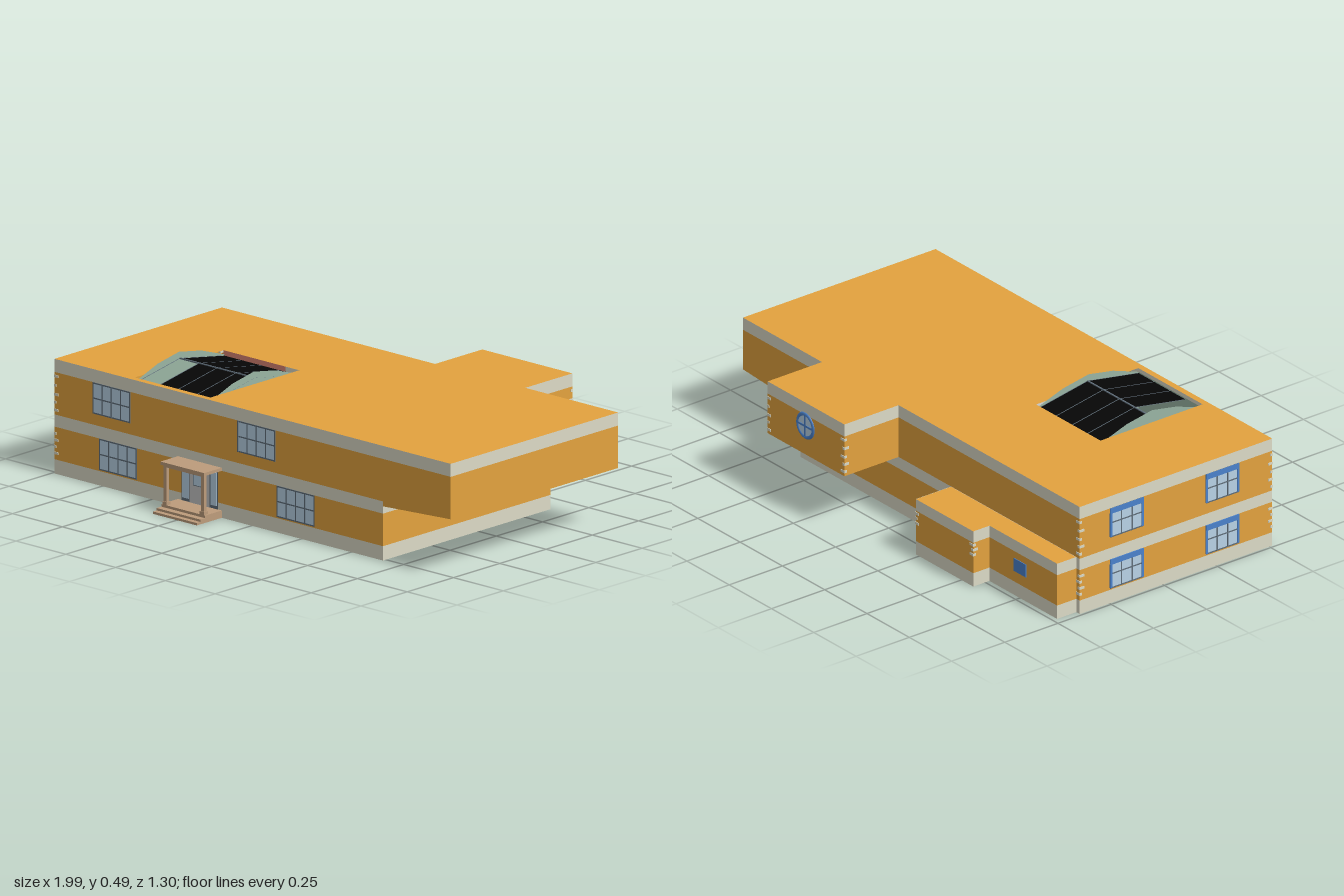
import * as THREE from 'three';

const mat = (name, color) => {
  const m = new THREE.MeshStandardMaterial({ color, side: THREE.DoubleSide });
  m.name = name;
  return m;
};

export function createModel() {
  const M = {
    ochre: mat('ochre wall', 0xe3a23e),
    beige: mat('beige trim', 0xdcdac6),
    black: mat('black panel', 0x060606),
    green: mat('green glass', 0x9ab5a4),
    glass: mat('window glass', 0xb8d2e6),
    slate: mat('slate frame', 0x606e7a),
    blue: mat('blue frame', 0x4a82cc),
    tan: mat('tan porch', 0xbd9c7b),
    light: mat('light grey', 0xc4c4c4),
    salmon: mat('salmon rim', 0xdc8474),
  };
  const root = new THREE.Group();

  const add = (parent, name, geo, m) => {
    const mesh = new THREE.Mesh(geo, m);
    mesh.name = name;
    parent.add(mesh);
    return mesh;
  };
  const group = (name) => {
    const g = new THREE.Group();
    g.name = name;
    root.add(g);
    return g;
  };
  // Box given by its minimum and maximum corners
  const box = (parent, name, m, x0, x1, y0, y1, z0, z1) => {
    const b = add(parent, name, new THREE.BoxGeometry(x1 - x0, y1 - y0, z1 - z0), m);
    b.position.set((x0 + x1) / 2, (y0 + y1) / 2, (z0 + z1) / 2);
  };
  // Single polygon from 3D corners (fan)
  const face = (parent, name, m, ...p) => {
    const pos = [];
    for (let i = 1; i < p.length - 1; i++) pos.push(...p[0], ...p[i], ...p[i + 1]);
    const g = new THREE.BufferGeometry();
    g.setAttribute('position', new THREE.Float32BufferAttribute(pos, 3));
    g.computeVertexNormals();
    add(parent, name, g, m);
  };
  // Upright panel between two plan points
  const wall = (parent, name, m, [ax, az], [bx, bz], y0, y1) =>
    face(parent, name, m, [ax, y0, az], [bx, y0, bz], [bx, y1, bz], [ax, y1, az]);
  // Upright wall strip following a plan outline of [x, z] corners
  const band = (name, m, outline, y0, y1) => {
    const g = group(name);
    outline.forEach((a, i) => wall(g, name, m, a, outline[(i + 1) % outline.length], y0, y1));
  };
  // Flat slab from a plan outline, with an optional hole
  const flat = (name, m, outline, y, hole) => {
    const v = (o) => o.map(([x, z]) => new THREE.Vector2(x, -z));
    const s = new THREE.Shape(v(outline));
    if (hole) s.holes.push(new THREE.Path(v(hole)));
    add(root, name, new THREE.ShapeGeometry(s).rotateX(-Math.PI / 2), m).position.y = y;
  };
  const rect = (x0, x1, z0, z1) => [[x0, z1], [x1, z1], [x1, z0], [x0, z0]];

  // Plan outlines, counter-clockwise from above
  const annex = [[-0.23, -0.39], [-0.23, -0.556], [-0.57, -0.556], [-0.57, -0.48], [-0.97, -0.48], [-0.97, -0.39]];
  const lower = [[-0.99, 0.515], [0.66, 0.515], [0.66, -0.39], ...annex, [-0.99, -0.39]];
  const upper = [[-0.99, 0.515], [1, 0.515], [1, -0.39], [0.533, -0.39], [0.533, -0.645],
    [0.08, -0.645], [0.08, -0.39], [-0.99, -0.39]];

  // Walls in painted bands
  band('lowerPlinth', M.beige, lower, 0, 0.055);
  band('lowerWalls', M.ochre, lower, 0.055, 0.18);
  band('lowerTrim', M.beige, lower, 0.18, 0.227);
  band('upperWalls', M.ochre, upper, 0.227, 0.39);
  band('upperTrim', M.beige, upper, 0.39, 0.44);

  // Roofs, with the skylight opening
  flat('mainRoof', M.ochre, upper, 0.44, rect(-0.61, -0.23, 0.01, 0.49));
  flat('annexRoof', M.ochre, annex, 0.226);

  // Overhang underside, sloping up to the end, with its side wedges
  face(root, 'overhangUnderside', M.beige, [0.66, 0.208, 0.515], [0.66, 0.208, -0.39], [1, 0.227, -0.39], [1, 0.227, 0.515]);
  for (const z of [0.515, -0.39])
    face(root, 'overhangWedge', M.ochre, [0.66, 0.208, z], [1, 0.227, z], [0.66, 0.227, z]);
  flat('bayUnderside', M.beige, rect(0.08, 0.533, -0.645, -0.39), 0.227);

  // Floors set above the plinth foot; the back corner room has none
  const floorY = 0.04;
  flat('groundFloor', M.light, [[-0.99, 0.515], [0.1, 0.515], [0.1, -0.39], [-0.2, -0.39], [-0.2, -0.15],
    [-0.57, -0.15], [-0.57, -0.48], [-0.97, -0.48], [-0.97, -0.39], [-0.99, -0.39]], floorY);
  flat('frontRoomFloor', M.glass, rect(0.1, 0.66, 0.05, 0.515), floorY);
  flat('annexFloor', M.glass, [[-0.57, -0.15], [-0.2, -0.15], [-0.2, -0.39], [-0.23, -0.39], [-0.23, -0.556], [-0.57, -0.556]], floorY);
  flat('ceiling', M.light, rect(-0.99, 0.66, -0.39, 0.515), 0.205);
  flat('upperFloor', M.light, rect(-0.61, -0.23, 0.01, 0.49), 0.225);
  wall(root, 'roomPartition', M.ochre, [0.1, 0.05], [0.66, 0.05], 0, 0.205);
  wall(root, 'sidePartition', M.light, [0.1, -0.39], [0.1, 0.05], 0.01, 0.205);
  box(root, 'annexPartition', M.tan, -0.577, -0.565, 0.02, 0.2, -0.48, -0.01);

  // Skylight: low gable of black panels with one panel open, between glass ends
  const sky = group('skylight');
  const xs = [-0.605, -0.51, -0.42, -0.325, -0.232];
  for (const z of [0.01, 0.49]) {
    const slope = (name, m, x0, x1, lift) =>
      face(sky, name, m, [x0, 0.42 + lift, z], [x1, 0.42 + lift, z], [x1, 0.462 + lift, 0.25], [x0, 0.462 + lift, 0.25]);
    for (let i = 0; i < 4; i++)
      if (i > 0 || z < 0.25) slope('skylightPanel', M.black, xs[i], xs[i + 1], 0);
    for (const x of xs) slope('skylightBar', M.slate, x - 0.002, x + 0.002, 0.001);
  }
  box(sky, 'skylightRidge', M.slate, -0.605, -0.232, 0.46, 0.465, 0.247, 0.253);
  for (const x of [-0.607, -0.231])
    face(sky, 'skylightEnd', M.green, [x, 0.225, 0.49], [x, 0.425, 0.49], [x, 0.467, 0.37], [x, 0.488, 0.255],
      [x, 0.467, 0.135], [x, 0.425, 0.01], [x, 0.225, 0.01]);
  // Rims of the opening
  wall(sky, 'frontShaft', M.green, [-0.61, 0.49], [-0.23, 0.49], 0.225, 0.425);
  wall(sky, 'frontRim', M.beige, [-0.61, 0.49], [-0.23, 0.49], 0.425, 0.44);
  wall(sky, 'backRim', M.salmon, [-0.61, 0.01], [-0.3, 0.01], 0.41, 0.44);
  wall(sky, 'backRimEnd', M.beige, [-0.3, 0.01], [-0.23, 0.01], 0.41, 0.44);

  // Paned window facing +z, centred on its group
  const windowAt = (name, w, h, cols, rows, frame, x, y, z, turn) => {
    const g = group(name);
    g.position.set(x, y, z);
    g.rotation.y = turn;
    box(g, 'glass', M.glass, -w / 2, w / 2, -h / 2, h / 2, 0, 0.001);
    const t = 0.0025;
    for (let i = 0; i <= cols; i++) {
      const c = -w / 2 + (w * i) / cols;
      box(g, 'upright', frame, c - t, c + t, -h / 2 - t, h / 2 + t, 0, 0.0025);
    }
    for (let i = 0; i <= rows; i++) {
      const c = -h / 2 + (h * i) / rows;
      box(g, 'crossbar', frame, -w / 2, w / 2, c - t, c + t, 0, 0.002);
    }
    return g;
  };
  for (const [x, y] of [[-0.703, 0.33], [0.025, 0.33], [-0.67, 0.12], [0.222, 0.12]])
    windowAt('frontWindow', 0.185, 0.115, 4, 2, M.slate, x, y, 0.515, 0);
  for (const z of [-0.17, 0.28])
    for (const y of [0.33, 0.12]) {
      const g = windowAt('sideWindow', 0.15, 0.115, 3, 2, M.slate, -0.99, y, z, -Math.PI / 2);
      box(g, 'blueHeader', M.blue, -0.078, 0.078, 0.038, 0.06, 0, 0.004);
      for (const s of [-0.074, 0.074]) box(g, 'blueJamb', M.blue, s - 0.005, s + 0.005, -0.057, 0.04, 0, 0.004);
    }
  box(group('annexWindow'), 'bluePane', M.blue, -0.788, -0.716, 0.1, 0.152, -0.483, -0.48);

  // Round window on the back bay
  const round = group('roundWindow');
  round.position.set(0.31, 0.345, -0.645);
  add(round, 'roundGlass', new THREE.CylinderGeometry(0.046, 0.046, 0.004, 24).rotateX(Math.PI / 2), M.glass);
  add(round, 'roundFrame', new THREE.TorusGeometry(0.046, 0.008, 6, 24).scale(1, 1, 0.6), M.blue);
  box(round, 'roundUpright', M.blue, -0.004, 0.004, -0.045, 0.045, -0.004, 0);
  box(round, 'roundCrossbar', M.blue, -0.045, 0.045, -0.004, 0.004, -0.004, 0);

  // Small corner blocks, reaching inwards along both walls (sx, sz)
  const corner = (x, z, sx, sz, ys) => {
    const g = group('cornerBlocks');
    const span = (c, s, len) => [Math.min(c - s * 0.002, c + s * len), Math.max(c - s * 0.002, c + s * len)];
    ys.forEach((y, i) =>
      box(g, 'cornerBlock', M.beige, ...span(x, sx, i % 2 ? 0.01 : 0.02), y, y + 0.01, ...span(z, sz, i % 2 ? 0.02 : 0.01)));
  };
  const lowYs = [0.075, 0.1, 0.125, 0.15];
  const highYs = [0.24, 0.27, 0.3, 0.335, 0.37];
  for (const [z, s] of [[0.515, -1], [-0.39, 1]]) corner(-0.99, z, 1, s, [...lowYs, ...highYs]);
  corner(0.08, -0.645, 1, 1, highYs);
  corner(0.533, -0.645, -1, 1, highYs);
  corner(-0.23, -0.556, -1, 1, [0.125, 0.145, 0.165]);
  corner(-0.57, -0.556, 1, 1, [0.125, 0.145, 0.165]);

  // Porch: steps, posts and canopy
  const porch = group('porch');
  for (const [z, h] of [[0.605, 0.028], [0.63, 0.018], [0.65, 0.009]])
    box(porch, 'step', M.tan, -0.37, -0.15, 0, h, 0.515, z);
  box(porch, 'canopy', M.tan, -0.37, -0.15, 0.18, 0.192, 0.515, 0.61);
  box(porch, 'canopyBeam', M.tan, -0.362, -0.158, 0.172, 0.18, 0.59, 0.602);
  for (const x of [-0.354, -0.166]) {
    box(porch, 'post', M.tan, x - 0.007, x + 0.007, 0.028, 0.18, 0.588, 0.602);
    box(porch, 'postFoot', M.tan, x - 0.011, x + 0.011, 0.028, 0.04, 0.584, 0.605);
  }

  // Front door with side lights
  const door = group('frontDoor');
  box(door, 'doorSurround', M.slate, -0.352, -0.168, 0.028, 0.18, 0.514, 0.516);
  box(door, 'doorLeaf', M.light, -0.31, -0.21, 0.028, 0.175, 0.515, 0.518);
  box(door, 'doorGlassFrame', M.slate, -0.291, -0.229, 0.097, 0.168, 0.518, 0.519);
  box(door, 'doorGlass', M.glass, -0.288, -0.232, 0.1, 0.165, 0.518, 0.52);
  for (const x of [-0.331, -0.189])
    box(door, 'sideLight', M.glass, x - 0.015, x + 0.015, 0.04, 0.168, 0.515, 0.518);

  return root;
}
